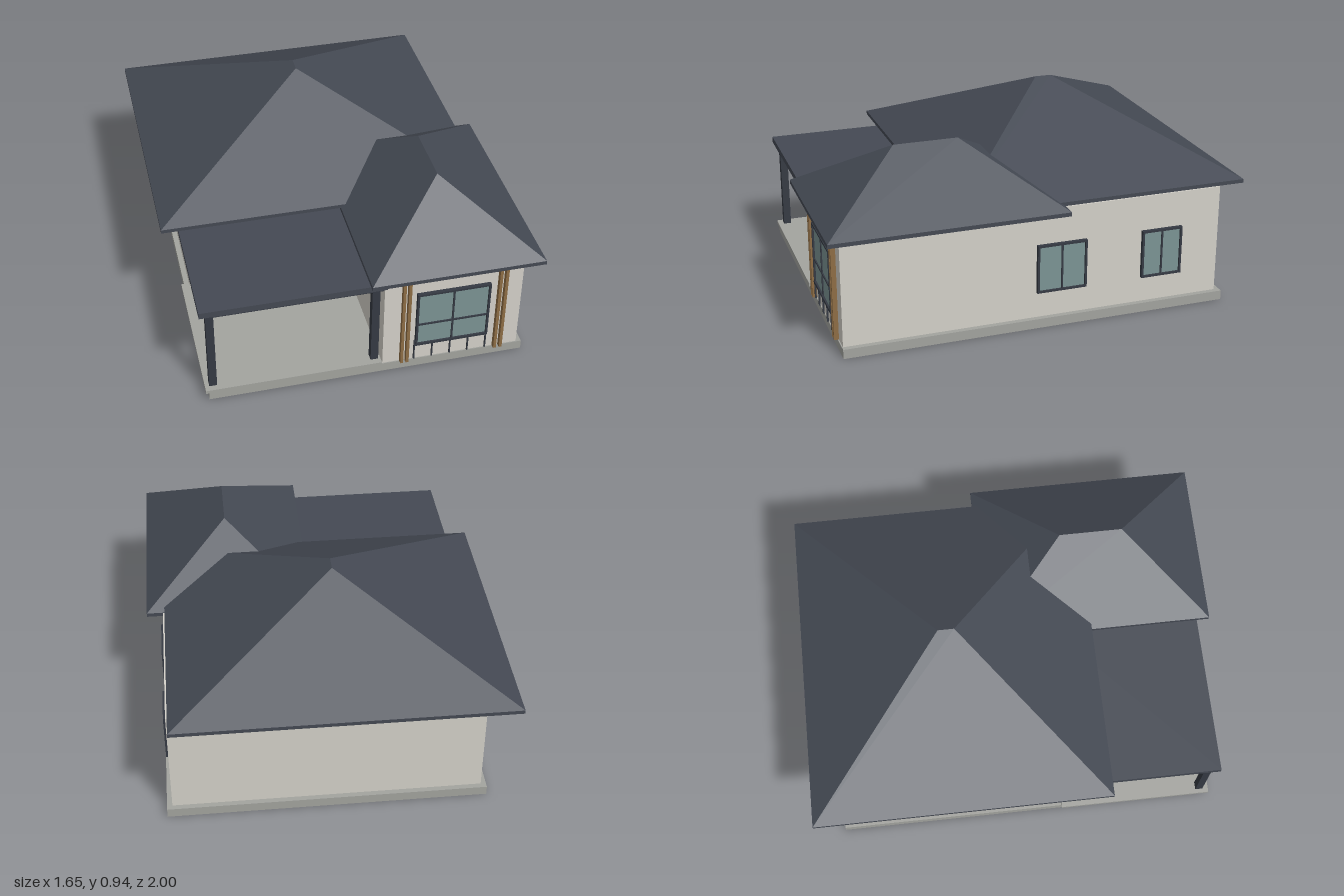
import * as THREE from 'three';

const mat = (name, color) => {
  const m = new THREE.MeshStandardMaterial({ color });
  m.name = name;
  return m;
};

export function createModel() {
  const house = new THREE.Group();
  house.name = 'house';
  const roofMat = mat('slate roof', 0x444953);
  const trimMat = mat('dark trim', 0x353a43);
  const wallMat = mat('pale render', 0xd4d1c9);
  const baseMat = mat('concrete', 0xa3a49f);
  const glassMat = mat('tinted glass', 0x7c9494);
  const woodMat = mat('timber', 0x8e6d45);

  // Box given by its two extremes on each axis
  function box(name, m, x0, x1, y0, y1, z0, z1, parent = house) {
    const mesh = new THREE.Mesh(new THREE.BoxGeometry(x1 - x0, y1 - y0, z1 - z0), m);
    mesh.position.set((x0 + x1) / 2, (y0 + y1) / 2, (z0 + z1) / 2);
    mesh.name = name;
    parent.add(mesh);
    return mesh;
  }

  // Hip roof: fascia slab with four slopes up to a ridge running along z
  function hipRoof(name, x0, x1, z0, z1, y0, eave, top, rx, rz0, rz1) {
    const g = new THREE.Group();
    g.name = name;
    box('fascia', roofMat, x0, x1, y0, eave, z0, z1, g);
    const bl = [x0, eave, z0], br = [x1, eave, z0], fl = [x0, eave, z1], fr = [x1, eave, z1];
    const rb = [rx, top, rz0], rf = [rx, top, rz1];
    const tris = [
      fl, fr, rf, // front
      br, bl, rb, // back
      fr, br, rb, fr, rb, rf, // left side
      bl, fl, rf, bl, rf, rb, // right side
    ];
    const geo = new THREE.BufferGeometry();
    geo.setAttribute('position', new THREE.Float32BufferAttribute(tris.flat(), 3));
    geo.computeVertexNormals();
    const slopes = new THREE.Mesh(geo, roofMat);
    slopes.name = 'slopes';
    g.add(slopes);
    house.add(g);
  }

  // Window in its own plane, facing +z, with a centre mullion and optional crossbar
  function windowUnit(name, w, y0, y1, bar) {
    const g = new THREE.Group();
    g.name = name;
    const h = w / 2, t = 0.01, d = 0.018;
    box('glass', glassMat, -h + t, h - t, y0 + t, y1 - t, 0.001, 0.009, g);
    for (const s of [-1, 1]) box('jamb', trimMat, s * (h - t / 2) - t / 2, s * (h - t / 2) + t / 2, y0, y1, 0, d, g);
    box('sill', trimMat, -h, h, y0, y0 + t, 0, d, g);
    box('head', trimMat, -h, h, y1 - t, y1, 0, d, g);
    box('mullion', trimMat, -0.004, 0.004, y0 + t, y1 - t, 0, 0.015, g);
    if (bar) box('crossbar', trimMat, -h + t, h - t, bar - 0.004, bar + 0.004, 0, 0.015, g);
    house.add(g);
    return g;
  }

  // Foundation and porch floor
  box('foundation', baseMat, -0.715, 0.77, 0, 0.045, -0.9, 0.94);
  box('porchFloor', baseMat, -0.73, 0.09, 0.045, 0.062, 0.2, 0.948);

  // Walls: main block, recessed entry, front wing
  box('mainWalls', wallMat, -0.69, 0.745, 0.045, 0.572, -0.875, 0.18);
  box('frontWall', wallMat, -0.69, -0.09, 0.045, 0.572, 0.18, 0.23);
  box('wingWalls', wallMat, 0.095, 0.745, 0.045, 0.557, 0.18, 0.935);

  // Roofs
  hipRoof('mainRoof', -0.825, 0.737, -1, 0.417, 0.572, 0.59, 0.94, -0.045, -0.33, -0.253);
  hipRoof('wingRoof', 0.02, 0.822, -0.103, 1, 0.556, 0.575, 0.838, 0.42, 0.297, 0.6);

  // Porch roof, beams and posts
  box('porchRoof', roofMat, -0.74, 0.105, 0.5, 0.53, 0.18, 0.945);
  box('porchFrontBeam', trimMat, -0.71, 0.094, 0.475, 0.5, 0.882, 0.922);
  box('porchSideBeam', trimMat, -0.71, -0.675, 0.475, 0.5, 0.23, 0.882);
  for (const x of [-0.71, 0.043]) box('porchPost', trimMat, x, x + 0.036, 0.062, 0.475, 0.884, 0.92);

  // Front windows and glazed door
  windowUnit('porchWindow', 0.262, 0.167, 0.403, 0.255).position.set(-0.36, 0, 0.23);
  windowUnit('frontDoor', 0.165, 0.068, 0.446, 0.23).position.set(0.012, 0, 0.18);
  windowUnit('wingWindow', 0.346, 0.138, 0.443, 0.26).position.set(0.418, 0, 0.935);

  // Side windows
  for (const [z, w] of [[-0.088, 0.24], [-0.583, 0.2]]) {
    const g = windowUnit('sideWindow', w, 0.17, 0.404);
    g.position.set(0.745, 0, z);
    g.rotation.y = Math.PI / 2;
  }

  // Low railing beneath the wing window
  for (let i = 0; i < 5; i++) {
    const x = 0.241 + i * 0.086;
    box('railPost', trimMat, x - 0.003, x + 0.003, 0.055, i ? 0.14 : 0.167, 0.943, 0.951);
  }
  box('rail', trimMat, 0.238, 0.588, 0.136, 0.143, 0.943, 0.953);

  // Paired timber battens either side of the wing window
  for (const x of [0.175, 0.201, 0.626, 0.654]) {
    box('timberBatten', woodMat, x, x + 0.014, 0.045, 0.557, 0.935, 0.957);
  }
  return house;
}
